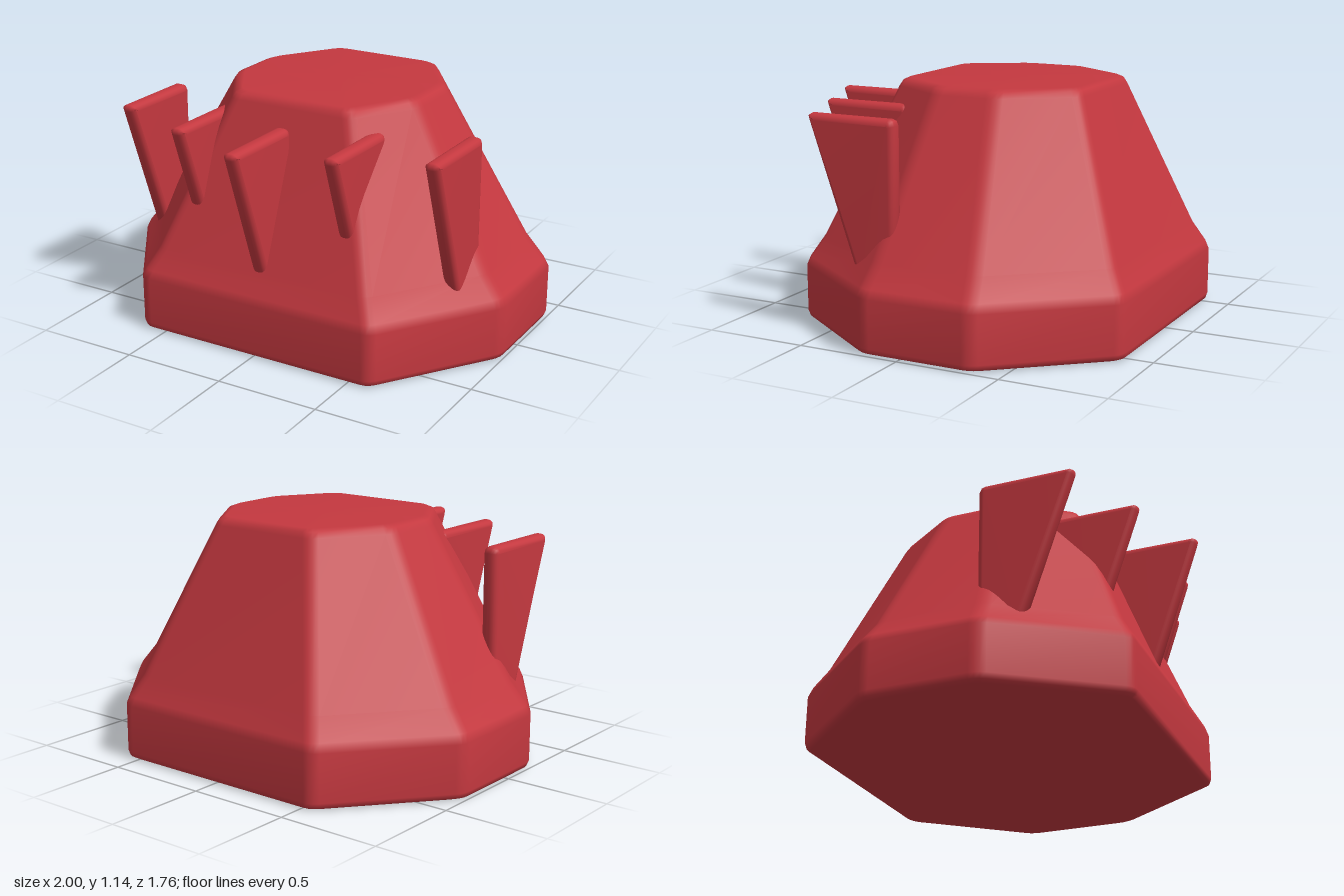
import * as THREE from 'three';
import { mergeVertices } from 'three/addons/utils/BufferGeometryUtils.js';

// Half outlines (x, z) of the base and the crown, front to back on the +x side
const BASE = [[0.61, 0.735], [1, 0.18], [1, -0.36], [0.56, -0.88]];
const CROWN = [[0.31, 0.385], [0.5, 0.08], [0.5, -0.22], [0.28, -0.54]];

// Octagon between base (t = 0) and crown (t = 1), with softened corners
function outline(t) {
  const half = BASE.map(([x, z], i) => new THREE.Vector2(
    x + (CROWN[i][0] - x) * t, z + (CROWN[i][1] - z) * t));
  const left = half.map(p => new THREE.Vector2(-p.x, p.y));
  const corners = [...half.reverse(), ...left];
  const points = [];
  corners.forEach((c, i) => {
    const toward = q => q.clone().sub(c).setLength(0.04).add(c);
    const prev = corners[(i + 7) % 8], next = corners[(i + 1) % 8];
    points.push(...new THREE.QuadraticBezierCurve(toward(prev), c, toward(next)).getPoints(3));
  });
  return points;
}

// Closed shell lofted through the octagon rings; shared vertices shade smoothly
function bodyGeometry() {
  const rings = [[0, 0.07], [0.01, 0.02], [0.035, 0], [0.26, 0], [0.3, 0.04], [0.4, 0.2],
    [1.1, 0.99], [1.127, 1.03], [1.14, 1.1]];
  const pos = [], index = [];
  let n = 0;
  for (const [y, t] of rings) {
    const pts = outline(t);
    n = pts.length;
    pts.forEach(p => pos.push(p.x, y, p.y));
  }
  const last = (rings.length - 1) * n;
  const bottom = pos.length / 3, top = bottom + 1;
  pos.push(0, 0, -0.07, 0, 1.14, -0.08);
  for (let i = 0; i < n; i++) {
    const j = (i + 1) % n;
    for (let r = 0; r < last; r += n) {
      index.push(r + i, r + n + i, r + j, r + j, r + n + i, r + n + j);
    }
    index.push(bottom, i, j, top, last + j, last + i);
  }
  const g = new THREE.BufferGeometry();
  g.setAttribute('position', new THREE.Float32BufferAttribute(pos, 3));
  g.setIndex(index);
  g.computeVertexNormals();
  return g;
}

// Upright plate with a slanted outer edge and rounded rim
function finGeometry() {
  const shape = new THREE.Shape([
    [0.3, 0.3], [0.545, 1.0], [0.55, 1.02], [0.535, 1.03],
    [0.13, 1.03], [0.11, 1.022], [0.1, 1.0], [0.1, 0.38],
  ].map(([z, y]) => new THREE.Vector2(z, y)));
  const g = new THREE.ExtrudeGeometry(shape, {
    depth: 0.016, bevelEnabled: true, bevelThickness: 0.03, bevelSize: 0.03,
    bevelOffset: -0.03, bevelSegments: 4,
  });
  g.translate(0, 0, -0.008);
  g.rotateY(-Math.PI / 2);
  g.deleteAttribute('uv');
  g.deleteAttribute('normal');
  const merged = mergeVertices(g, 1e-4);
  merged.computeVertexNormals();
  return merged;
}

export function createModel() {
  const group = new THREE.Group();
  const red = new THREE.MeshStandardMaterial({ color: 0xc4383f });
  red.name = 'red';

  const body = new THREE.Mesh(bodyGeometry(), red);
  body.name = 'body';
  group.add(body);

  // Five fins fanned across the front, the middle one furthest forward
  const fin = finGeometry();
  for (let i = -2; i <= 2; i++) {
    const mesh = new THREE.Mesh(fin, red);
    mesh.name = 'fin' + (i + 3);
    mesh.position.set(i * 0.4, 0, (2 - Math.abs(i)) * 0.165);
    group.add(mesh);
  }
  return group;
}
